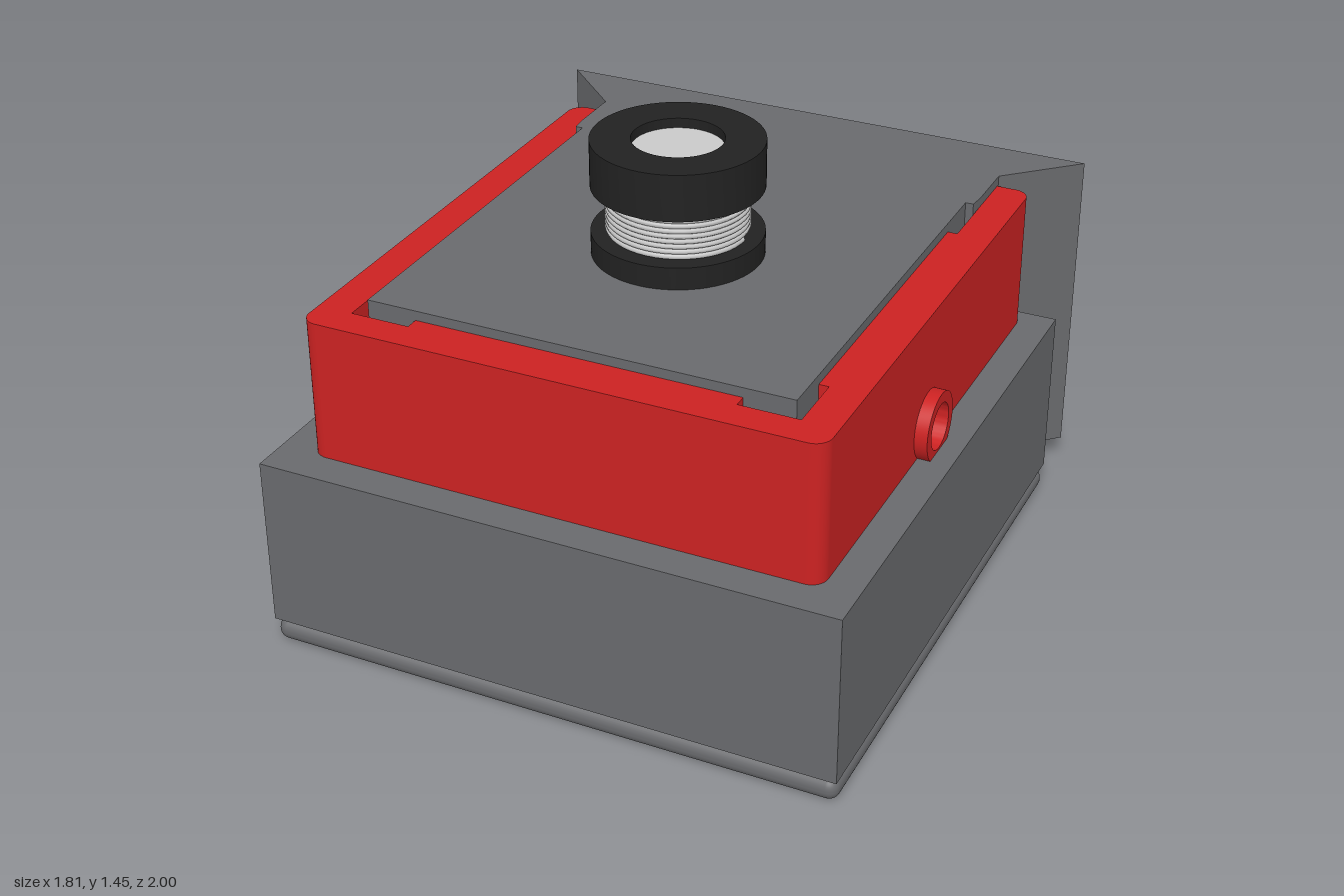
import * as THREE from 'three';
import { toCreasedNormals } from 'three/addons/utils/BufferGeometryUtils.js';
import { RoundedBoxGeometry } from 'three/addons/geometries/RoundedBoxGeometry.js';

const material = (name, color) => {
  const m = new THREE.MeshStandardMaterial({ color });
  m.name = name;
  return m;
};

export function createModel() {
  const model = new THREE.Group();
  model.name = 'clampBlock';
  const grey = material('grey', 0x696a6d);
  const red = material('red', 0xcc2222);
  const black = material('black', 0x222222);
  const silver = material('silver', 0xcacaca);

  const add = (name, geometry, mat, x = 0, y = 0, z = 0) => {
    const mesh = new THREE.Mesh(geometry, mat);
    mesh.name = name;
    mesh.position.set(x, y, z);
    model.add(mesh);
    return mesh;
  };
  // Box given by its limits on each axis
  const box = (name, mat, [x0, x1], [y0, y1], [z0, z1]) =>
    add(name, new THREE.BoxGeometry(x1 - x0, y1 - y0, z1 - z0), mat,
      (x0 + x1) / 2, (y0 + y1) / 2, (z0 + z1) / 2);
  const extrude = (shape, depth) => toCreasedNormals(
    new THREE.ExtrudeGeometry(shape, { depth, bevelEnabled: false, curveSegments: 32 }), 0.6);
  const circle = (x, y, r) => new THREE.Path().absarc(x, y, r, 0, Math.PI * 2, true);
  const ring = (outer, inner) => {
    const s = new THREE.Shape().absarc(0, 0, outer, 0, Math.PI * 2, false);
    s.holes.push(circle(0, 0, inner));
    return s;
  };

  // Base with a rounded foot pad
  add('footPad', new RoundedBoxGeometry(1.81, 0.072, 1.81, 4, 0.034), grey, 0, 0.036, 0.095);
  box('base', grey, [-0.905, 0.905], [0.077, 0.62], [-0.815, 1]);

  // Central slide, flaring into a dovetail at the back
  const half = [[0.66, 0.75], [0.66, -0.57], [0.685, -0.57], [0.69, -0.62], [0.69, -0.795], [0.905, -1]];
  const outline = [...half, ...half.map(([x, z]) => [-x, z]).reverse()]
    .map(([x, z]) => new THREE.Vector2(x, -z));
  const slide = extrude(new THREE.Shape(outline), 1.013);
  slide.rotateX(-Math.PI / 2);
  add('dovetailSlide', slide, grey, 0, 0.077, 0);

  // Red housing: front wall, linings and the floor of the corner pockets
  const wallY = [0.62, 1.06];
  box('frontWall', red, [-0.75, 0.75], wallY, [0.79, 0.89]);
  box('frontLining', red, [-0.505, 0.505], wallY, [0.74, 0.79]);
  box('pocketFloor', red, [-0.69, 0.69], [0.62, 0.96], [-0.57, 0.79]);

  const holeY = 0.7, holeZ = 0.095, holeR = 0.072;
  for (const side of [1, -1]) {
    const span = (a, b) => (side > 0 ? [a, b] : [-b, -a]);
    const label = side > 0 ? 'left' : 'right';

    // Side wall with a round hole
    const wall = new THREE.Shape();
    wall.moveTo(-0.84, 0.62).lineTo(0.735, 0.62).lineTo(0.735, 1.06).lineTo(-0.84, 1.06).closePath();
    wall.holes.push(circle(-holeZ, holeY, holeR));
    const wallGeometry = extrude(wall, 0.11);
    wallGeometry.rotateY(Math.PI / 2);
    add(label + 'SideWall', wallGeometry, red, span(0.69, 0.8)[0]);
    box(label + 'Lining', red, span(0.65, 0.69), wallY, [-0.415, 0.6]);
    box(label + 'BackEnd', red, span(0.69, 0.75), wallY, [-0.785, -0.735]);

    // Rounded vertical corners
    for (const z of [0.84, -0.735])
      add(label + 'Corner', new THREE.CylinderGeometry(0.05, 0.05, 0.44, 32), red, side * 0.75, 0.84, z);

    // Raised collar around the hole, with a pin end inside
    const collar = extrude(ring(0.107, holeR), 0.04);
    collar.rotateY(Math.PI / 2);
    add(label + 'Collar', collar, red, span(0.8, 0.84)[0], holeY, holeZ);
    const pin = new THREE.CylinderGeometry(holeR, holeR, 0.02, 32);
    pin.rotateZ(Math.PI / 2);
    add(label + 'Pin', pin, silver, side * 0.685, holeY, holeZ);
  }

  // Plunger: flange, rod, coil spring and hollow cap
  const knobZ = 0.09;
  add('flange', new THREE.CylinderGeometry(0.257, 0.257, 0.07, 64), black, 0, 1.125, knobZ);
  add('rod', new THREE.CylinderGeometry(0.137, 0.137, 0.33, 48), silver, 0, 1.255, knobZ);
  const cap = extrude(ring(0.257, 0.137), 0.145);
  cap.rotateX(-Math.PI / 2);
  add('cap', cap, black, 0, 1.305, knobZ);

  const turns = 8, coil = [];
  for (let i = 0; i <= turns * 24; i++) {
    const a = (i / 24) * Math.PI * 2;
    coil.push(new THREE.Vector3(0.206 * Math.cos(a), 1.168 + 0.13 * i / (turns * 24), 0.206 * Math.sin(a)));
  }
  const path = new THREE.CatmullRomCurve3(coil);
  add('spring', new THREE.TubeGeometry(path, turns * 48, 0.009, 8, false), silver, 0, 0, knobZ);

  return model;
}
